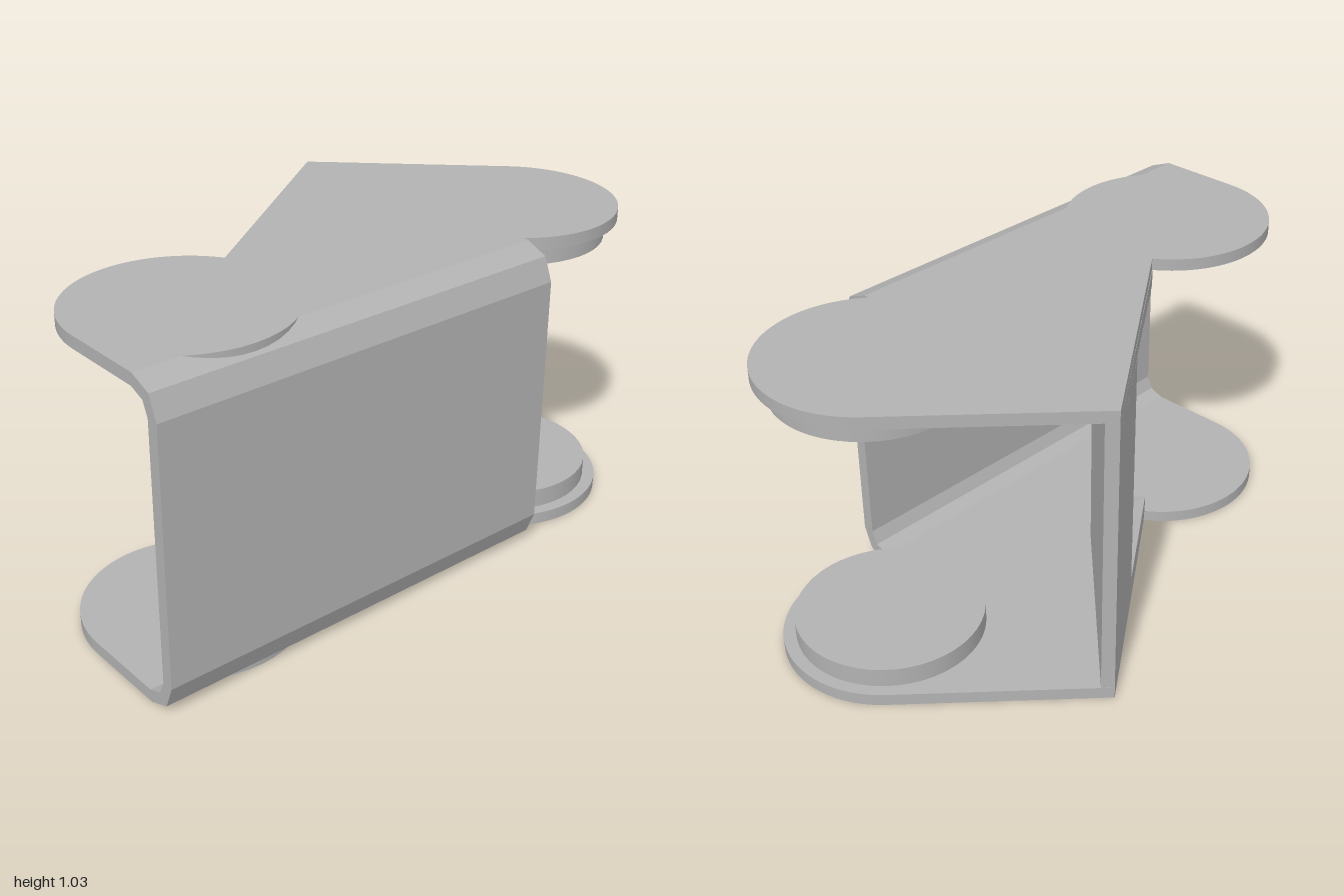
import * as THREE from 'three';
import { ConvexGeometry } from 'three/addons/geometries/ConvexGeometry.js';

const H = 1.035, T = 0.04; // overall height, sheet thickness
const LX = 0.17, LZ = 0.655, LR = 0.345; // lobe centre and radius

export function createModel() {
  const group = new THREE.Group();
  const steel = new THREE.MeshStandardMaterial({ color: 0xb2b2b2 });
  steel.name = 'grey steel';

  const add = (name, geometry) => {
    const mesh = new THREE.Mesh(geometry, steel);
    mesh.name = name;
    group.add(mesh);
    return mesh;
  };
  const polygon = (points) => new THREE.Shape(points.map(([x, y]) => new THREE.Vector2(x, y)));
  // Plan outline (x, z) raised from y0 to y1
  const slab = (shape, y0, y1) =>
    new THREE.ExtrudeGeometry(shape, { depth: y1 - y0, bevelEnabled: false, curveSegments: 28 })
      .rotateX(Math.PI / 2).translate(0, y1, 0);
  const disc = (r, y0, y1, z) =>
    new THREE.CylinderGeometry(r, r, y1 - y0, 48).translate(LX, (y0 + y1) / 2, z);

  // Plate outline: pointed corner, back lobe, straight bend line, front lobe
  const plate = new THREE.Shape();
  plate.moveTo(-0.56, -0.39);
  plate.absarc(LX, -LZ, LR, Math.PI * 1.25, Math.PI * 2.22, false);
  plate.lineTo(0.43, -0.435);
  plate.lineTo(0.455, -0.435);
  plate.lineTo(0.455, 1);
  plate.lineTo(LX, 1);
  plate.absarc(LX, LZ, LR, Math.PI / 2, Math.PI * 1.318, false);
  plate.lineTo(-0.56, -0.39);

  // Top and bottom halves mirror each other about mid height
  const wallFoot = [[-0.56, -0.39], [-0.015, 0.37], [0.02, 0.345], [0.02, 0.125], [-0.53, -0.42]];
  const wedge = [
    [-0.29, 0.097, -0.013], [-0.015, 0.097, 0.37], [0.02, 0.097, 0.345], [0.02, 0.097, 0.125],
    [-0.015, 0.097, 0.163], [-0.015, 0.122, 0.163], [0.02, 0.122, 0.125],
  ];
  for (const top of [false, true]) {
    const side = top ? 'top' : 'bottom';
    const span = (a, b) => (top ? [H - b, H - a] : [a, b]);
    add(side + 'Plate', slab(plate, ...span(0, T)));
    add(side + 'FrontLobe', disc(LR, ...span(0, T), LZ));
    add(side + 'BackBoss', disc(0.305, ...span(T, 0.105), -LZ));
    add(side + 'WallLip', slab(polygon(wallFoot), ...span(T, 0.097)));
    // Sloped edge of the recess in the slanted wall
    add(side + 'RecessEdge', new ConvexGeometry(
      wedge.map(([x, y, z]) => new THREE.Vector3(x, top ? H - y : y, z))));
  }

  // Slanted wall between the lips, recessed towards its front end
  add('slantedWall', slab(polygon([
    [-0.56, -0.39], [-0.29, -0.013], [-0.015, 0.163], [0.02, 0.125], [-0.53, -0.42],
  ]), 0.097, H - 0.097));

  // Side wall with bent corners, profile in x and y
  const outer = [[0.455, 0], [0.53, 0.03], [0.56, 0.105]];
  const inner = [[0.45, T], [0.5, 0.06], [0.52, 0.105]];
  const flip = (points) => points.map(([x, y]) => [x, H - y]).reverse();
  const profile = polygon([...outer, ...flip(outer), ...flip(inner).reverse(), ...inner.slice().reverse()]);
  add('sideWall', new THREE.ExtrudeGeometry(profile, { depth: 1.435, bevelEnabled: false })
    .translate(0, 0, -0.435));

  return group;
}
